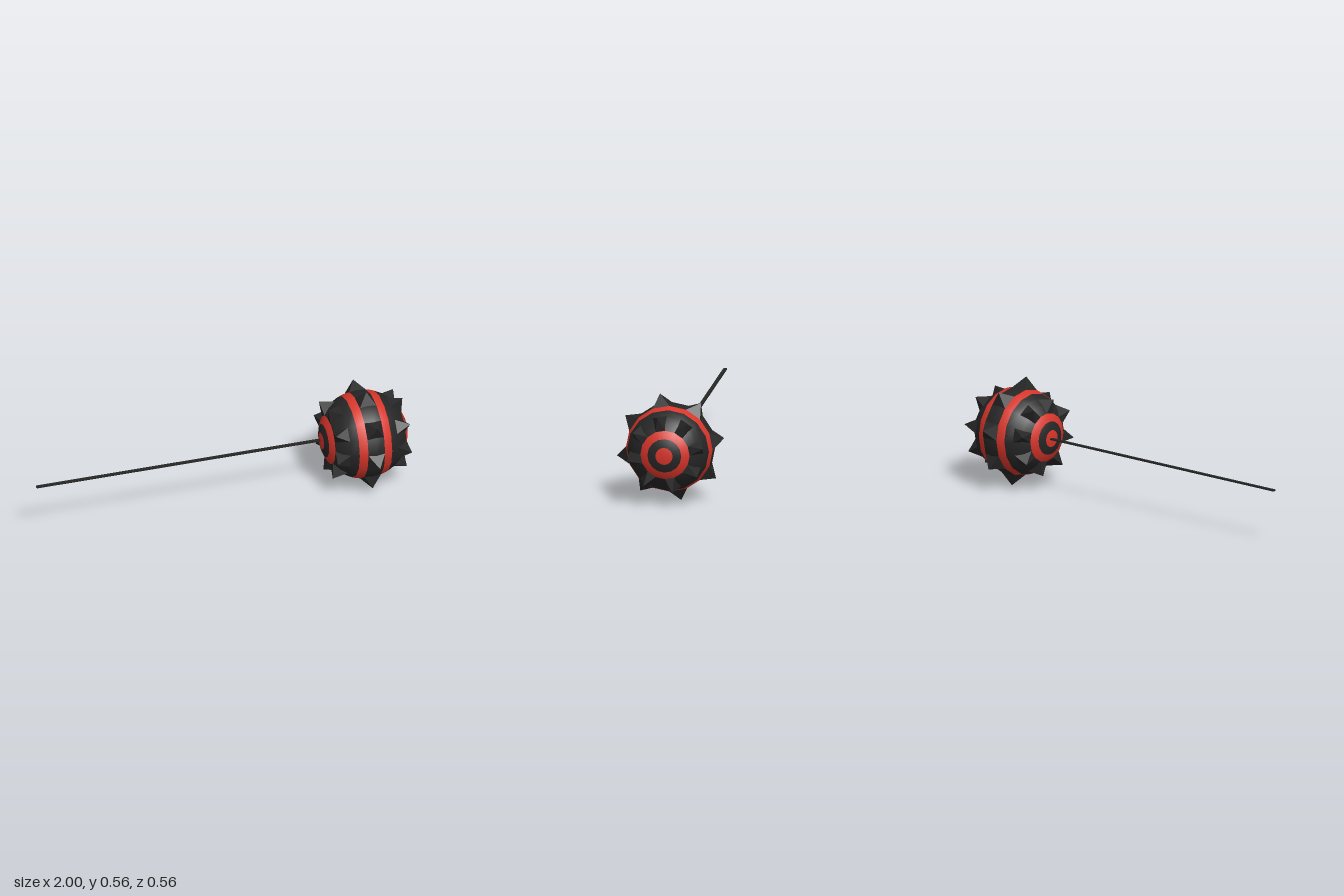
import * as THREE from 'three';

const R = 0.23, TIP = 0.284, STEP = Math.PI / 16;

export function createModel() {
  const model = new THREE.Group();
  const black = new THREE.MeshStandardMaterial({ color: 0x262626 });
  const blackFlat = new THREE.MeshStandardMaterial({ color: 0x262626, flatShading: true });
  const red = new THREE.MeshStandardMaterial({ color: 0xd8352a });

  // Ball: pole lies along x, striped by polar bands
  const ball = new THREE.Group();
  ball.name = 'spikedBall';
  ball.position.set(0.767, 0.281, 0);
  model.add(ball);

  // [first ring, ring count, is red], 16 rings from pole to pole
  const bands = [[0, 1, 1], [1, 1, 0], [2, 1, 1], [3, 3, 0], [6, 1, 1], [7, 2, 0],
    [9, 1, 1], [10, 3, 0], [13, 1, 1], [14, 1, 0], [15, 1, 1]];
  for (const [start, count, isRed] of bands) {
    const geo = new THREE.SphereGeometry(R, 16, count, 0, Math.PI * 2, start * STEP, count * STEP);
    geo.rotateZ(-Math.PI / 2);
    const band = new THREE.Mesh(geo, isRed ? red : black);
    band.name = isRed ? 'redBand' : 'blackBand';
    ball.add(band);
  }

  // Point from polar angle (off +x) and azimuth (from up towards +z)
  const point = (r, polar, az) => [
    r * Math.cos(polar), r * Math.sin(polar) * Math.cos(az), r * Math.sin(polar) * Math.sin(az)];

  // Spikes: four-sided pyramids raised from two-ring patches of the ball
  const spikeRow = (ring, name) => {
    const row = new THREE.Group();
    row.name = name;
    const polar = ring * STEP, half = Math.PI / 8;
    for (let i = 0; i < 8; i++) {
      const az = i * 2 * half;
      const tip = point(TIP, polar, az + half / 2);
      const base = [
        point(R, polar - STEP, az), point(R, polar + STEP, az),
        point(R, polar + STEP, az + half), point(R, polar - STEP, az + half)];
      const pos = [];
      base.forEach((p, k) => pos.push(...p, ...tip, ...base[(k + 1) % 4]));
      const geo = new THREE.BufferGeometry();
      geo.setAttribute('position', new THREE.Float32BufferAttribute(pos, 3));
      geo.computeVertexNormals();
      const spike = new THREE.Mesh(geo, blackFlat);
      spike.material.side = THREE.DoubleSide;
      spike.name = 'spike';
      row.add(spike);
    }
    ball.add(row);
  };
  spikeRow(4, 'leftSpikes');
  spikeRow(8, 'middleSpikes');
  spikeRow(12, 'rightSpikes');

  // Handle: thin flat rod running into the ball, rising slightly to its free end
  const x0 = -1, x1 = 0.56, y0 = 0.291, y1 = 0.282;
  const rod = new THREE.Mesh(new THREE.BoxGeometry(x1 - x0, 0.008, 0.018), blackFlat);
  rod.name = 'handle';
  rod.position.set((x0 + x1) / 2, (y0 + y1) / 2, -0.009);
  rod.rotation.z = Math.atan2(y1 - y0, x1 - x0);
  model.add(rod);

  return model;
}
